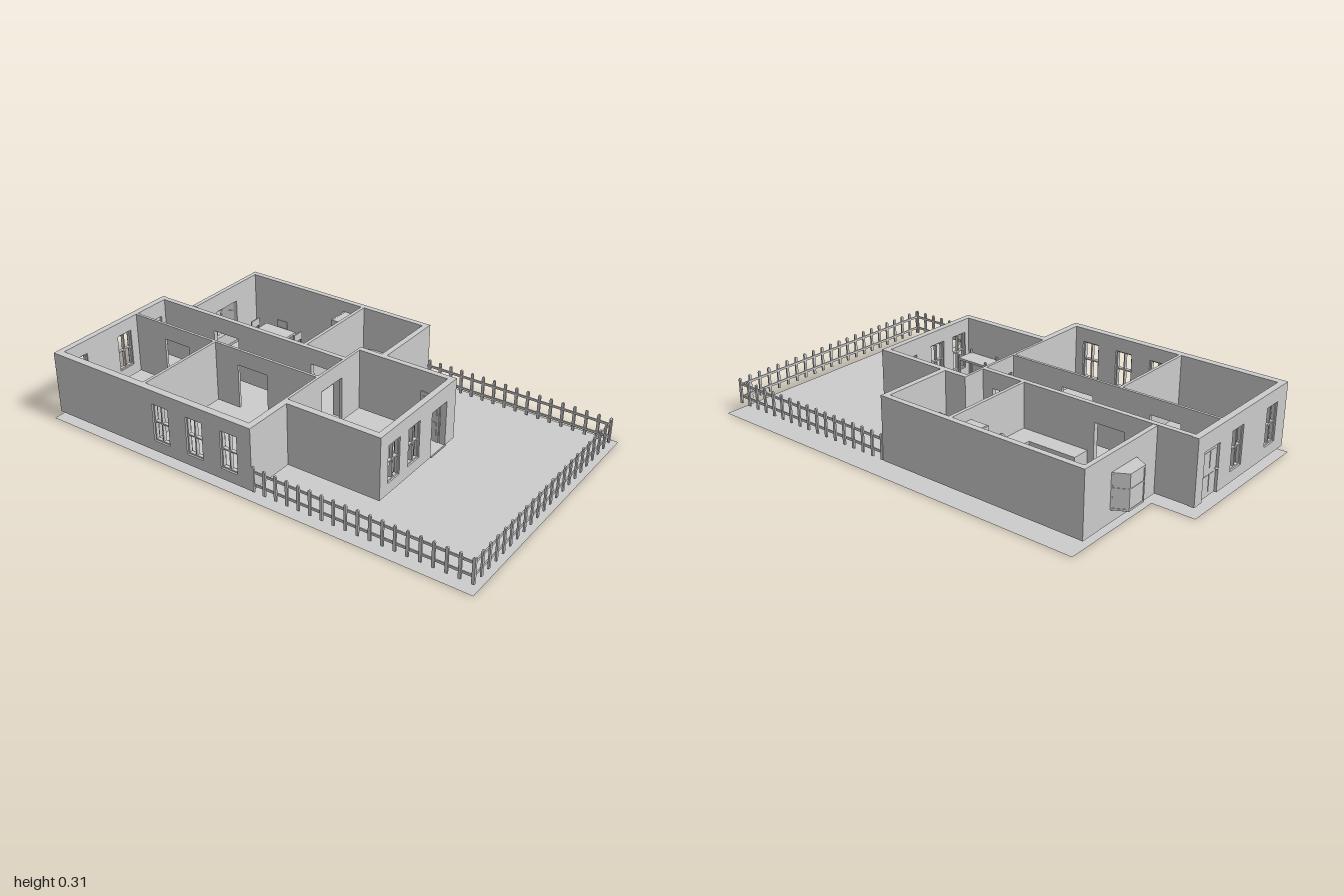
import * as THREE from 'three';

const BASE = 0.03, TOP = 0.305;
const mat = new THREE.MeshStandardMaterial({ color: 0xcccccc, side: THREE.DoubleSide });
const flat = new THREE.MeshStandardMaterial({ color: 0xcccccc, side: THREE.DoubleSide, flatShading: true });

function add(parent, name, geo, x = 0, y = 0, z = 0, m = mat) {
  const mesh = new THREE.Mesh(geo, m);
  mesh.name = name;
  mesh.position.set(x, y, z);
  parent.add(mesh);
  return mesh;
}

// Box given by its extents
function box(parent, name, x0, x1, y0, y1, z0, z1) {
  return add(parent, name, new THREE.BoxGeometry(x1 - x0, y1 - y0, z1 - z0),
    (x0 + x1) / 2, (y0 + y1) / 2, (z0 + z1) / 2);
}

function group(parent, name, x = 0, y = 0, z = 0, ry = 0) {
  const g = new THREE.Group();
  g.name = name;
  g.position.set(x, y, z);
  g.rotation.y = ry;
  parent.add(g);
  return g;
}

const WIN = [0.078, 0.245], DOOR = 0.233;
const win = (c) => ({ a: c - 0.04, b: c + 0.04, y0: WIN[0], y1: WIN[1], window: true });
const door = (a, b) => ({ a, b, door: true });

// Sash window with mullions, in a wall's own frame
function sash(parent, o, t) {
  const g = group(parent, 'window');
  const s = 0.006, d0 = t * 0.25, d1 = t * 0.75, m = (o.a + o.b) / 2, h = (o.y0 + o.y1) / 2;
  for (const x of [o.a, m - s / 2, o.b - s]) box(g, 'windowUpright', x, x + s, o.y0, o.y1, d0, d1);
  for (const y of [o.y0, h, o.y1 - s]) box(g, 'windowBar', o.a, o.b, y, y + s, d0, d1);
}

// Wall along x or z with window holes and door gaps
function wall(parent, name, axis, u0, u1, t0, t1, openings = []) {
  const t = t1 - t0;
  const s = new THREE.Shape();
  s.moveTo(u0, BASE);
  for (const o of openings.filter((o) => o.door)) {
    s.lineTo(o.a, BASE); s.lineTo(o.a, DOOR); s.lineTo(o.b, DOOR); s.lineTo(o.b, BASE);
  }
  s.lineTo(u1, BASE); s.lineTo(u1, TOP); s.lineTo(u0, TOP); s.closePath();
  const g = axis === 'x' ? group(parent, name, 0, 0, t0) : group(parent, name, t1, 0, 0, -Math.PI / 2);
  for (const o of openings.filter((o) => !o.door)) {
    const p = new THREE.Path();
    p.moveTo(o.a, o.y0); p.lineTo(o.a, o.y1); p.lineTo(o.b, o.y1); p.lineTo(o.b, o.y0); p.closePath();
    s.holes.push(p);
    if (o.window) sash(g, o, t);
  }
  add(g, 'wallPanel', new THREE.ExtrudeGeometry(s, { depth: t, bevelEnabled: false }));
}

// Picket fence running along local x
const picketShape = new THREE.Shape();
picketShape.moveTo(-0.006, 0);
picketShape.lineTo(0.006, 0);
picketShape.lineTo(0.006, 0.106);
picketShape.absarc(0, 0.106, 0.006, 0, Math.PI, false);
picketShape.closePath();
const picketGeo = new THREE.ExtrudeGeometry(picketShape, { depth: 0.007, bevelEnabled: false, curveSegments: 4 });
function fence(parent, name, length, x, z, ry) {
  const g = group(parent, name, x, BASE, z, ry), n = Math.round(length / 0.0525);
  for (let i = 0; i <= n; i++) add(g, 'picket', picketGeo, 0.006 + (length - 0.012) * i / n, 0, 0);
  for (const y of [0.024, 0.08]) box(g, 'fenceRail', 0, length, y, y + 0.01, -0.005, 0);
}

// Loft of rounded rectangles: rings of [halfX, halfZ, y], closed at the last
function roundedLoft(rings, power = 0.4, n = 32) {
  const pos = [], idx = [];
  rings.forEach(([a, b, y], r) => {
    for (let i = 0; i < n; i++) {
      const t = i / n * Math.PI * 2, c = Math.cos(t), s = Math.sin(t);
      pos.push(a * Math.sign(c) * Math.abs(c) ** power, y, b * Math.sign(s) * Math.abs(s) ** power);
      if (r) {
        const j = (i + 1) % n, p = (r - 1) * n, q = r * n;
        idx.push(p + i, q + i, p + j, p + j, q + i, q + j);
      }
    }
  });
  const g = new THREE.BufferGeometry();
  g.setAttribute('position', new THREE.Float32BufferAttribute(pos, 3));
  g.setIndex(idx);
  g.computeVertexNormals();
  return g;
}

function table(parent, name, x0, x1, z0, z1, y, post = 0, leg = 0.008) {
  const g = group(parent, name);
  box(g, 'tableTop', x0, x1, y - 0.01, y, z0, z1);
  for (const x of [x0, x1 - leg]) for (const z of [z0, z1 - leg])
    box(g, 'tableLeg', x, x + leg, BASE, y + post, z, z + leg);
}

function chair(parent, x, z, ry) {
  const g = group(parent, 'chair', x, BASE, z, ry);
  box(g, 'chairSeat', -0.028, 0.028, 0.045, 0.052, -0.03, 0.026);
  box(g, 'chairBack', -0.028, 0.028, 0.075, 0.11, 0.02, 0.026);
  for (const px of [-0.028, 0.022]) {
    box(g, 'chairFrontLeg', px, px + 0.006, 0, 0.045, -0.03, -0.024);
    box(g, 'chairBackLeg', px, px + 0.006, 0, 0.11, 0.02, 0.026);
  }
}

// Panelled door leaf, hinged at local x = 0
function leaf(parent, name, w, x, z, ry) {
  const g = group(parent, name, x, BASE, z, ry);
  box(g, 'doorLeaf', 0, w, 0, DOOR - BASE, -0.003, 0.003);
  for (const [a, b] of [[0.02, 0.09], [0.115, 0.185]])
    for (const px of [0.12, 0.55]) box(g, 'doorPanel', w * px, w * (px + 0.33), a, b, -0.005, 0.005);
  for (const z1 of [-0.01, 0.01])
    add(g, 'doorKnob', new THREE.SphereGeometry(0.006, 10, 8), w * 0.93, 0.1, z1);
}

export function createModel() {
  const model = new THREE.Group();
  model.name = 'house';

  // Ground sheet with the notch at the back
  const gs = new THREE.Shape([[-0.594, -1], [0.59, -1], [0.59, 0.815], [0.105, 0.815], [0.105, 1], [-0.594, 1]]
    .map(([x, y]) => new THREE.Vector2(x, y)));
  add(model, 'ground', new THREE.ShapeGeometry(gs).rotateX(-Math.PI / 2));

  // Walls running across the house
  const W = group(model, 'walls');
  wall(W, 'backWall', 'x', -0.573, 0.085, -0.98, -0.952, [win(-0.46), win(-0.2), door(-0.07, 0.035)]);
  wall(W, 'bedroomDivider', 'x', -0.541, -0.12, -0.52, -0.507);
  wall(W, 'bedroomFrontWall', 'x', -0.573, -0.35, 0.008, 0.037);
  wall(W, 'livingRoomBackWall', 'x', -0.35, 0.19, 0.008, 0.02, [door(-0.1, 0.04)]);
  wall(W, 'kitchenBackWall', 'x', 0.085, 0.525, -0.81, -0.79, [{ a: 0.22, b: 0.36, y0: 0.09, y1: 0.225 }]);
  wall(W, 'kitchenBathroomDivider', 'x', 0.082, 0.5, -0.2, -0.185);
  wall(W, 'bathroomFrontWall', 'x', 0.19, 0.525, 0.112, 0.137);
  wall(W, 'livingRoomFrontWall', 'x', -0.35, 0.19, 0.435, 0.462, [win(-0.257), win(-0.117), door(0.012, 0.122)]);

  // Walls running front to back
  wall(W, 'rightOuterWall', 'z', -0.952, 0.008, -0.573, -0.541, [win(-0.41), win(-0.24), win(-0.07)]);
  wall(W, 'hallRightWall', 'z', -0.952, 0.008, -0.12, -0.108, [door(-0.79, -0.655), door(-0.39, -0.24)]);
  wall(W, 'hallLeftWall', 'z', -0.952, 0.008, 0.06, 0.082, [door(-0.67, -0.535), door(-0.15, -0.04)]);
  wall(W, 'leftOuterWall', 'z', -0.79, 0.112, 0.5, 0.525);
  wall(W, 'livingRoomRightWall', 'z', 0.02, 0.435, -0.35, -0.32);
  wall(W, 'livingRoomLeftWall', 'z', 0.02, 0.435, 0.165, 0.19);

  // Outer doors: back one closed, front one swung inward
  leaf(model, 'backDoor', 0.105, 0.035, -0.966, Math.PI);
  leaf(model, 'frontDoor', 0.1, 0.122, 0.432, 1.4);
  box(model, 'doorstep', 0.012, 0.122, BASE, 0.035, 0.462, 0.467);

  // Bay window
  const bay = group(model, 'bayWindow');
  const pts = [[0.213, -0.81], [0.243, -0.868], [0.335, -0.868], [0.367, -0.81]];
  const slab = new THREE.ExtrudeGeometry(new THREE.Shape(pts.map(([x, z]) => new THREE.Vector2(x, -z))),
    { depth: 0.008, bevelEnabled: false }).rotateX(-Math.PI / 2);
  for (const y of [0.083, 0.222]) add(bay, 'baySlab', slab, 0, y, 0);
  for (let i = 0; i < 3; i++) {
    const [[x0, z0], [x1, z1]] = [pts[i], pts[i + 1]], l = Math.hypot(x1 - x0, z1 - z0);
    const g = group(bay, 'baySide', x0, 0, z0, -Math.atan2(z1 - z0, x1 - x0));
    box(g, 'bayPane', 0, l, 0.091, 0.222, 0.002, 0.004);
    for (const x of [0, l - 0.006]) box(g, 'bayPost', x, x + 0.006, 0.091, 0.222, 0, 0.006);
    box(g, 'bayBar', 0, l, 0.165, 0.171, 0, 0.006);
  }

  // Picket fence round the yard
  fence(model, 'frontFence', 1.1, -0.575, 0.983, 0);
  fence(model, 'leftFence', 0.85, 0.518, 0.99, Math.PI / 2);
  fence(model, 'rightFence', 0.953, -0.568, 0.037, -Math.PI / 2);

  // Kitchen: counter, tap, refrigerator, dining set
  box(model, 'counterSide', 0.083, 0.163, 0.028, 0.11, -0.507, -0.29);
  box(model, 'counterBack', 0.083, 0.395, 0.028, 0.11, -0.29, -0.201);
  const tap = new THREE.CatmullRomCurve3([[0, 0, 0], [0, 0.03, 0], [0, 0.037, -0.014], [0, 0.026, -0.026]]
    .map((p) => new THREE.Vector3(...p)));
  add(model, 'tap', new THREE.TubeGeometry(tap, 12, 0.004, 8), 0.24, 0.11, -0.209);
  const fridge = group(model, 'refrigerator');
  box(fridge, 'refrigeratorBody', 0.397, 0.495, BASE, 0.26, -0.28, -0.201);
  box(fridge, 'lowerDoor', 0.397, 0.495, 0.035, 0.165, -0.288, -0.281);
  box(fridge, 'upperDoor', 0.397, 0.495, 0.17, 0.26, -0.288, -0.281);
  for (const y of [0.12, 0.18]) box(fridge, 'handle', 0.438, 0.444, y, y + 0.035, -0.294, -0.288);
  table(model, 'diningTable', 0.34, 0.443, -0.685, -0.52, 0.11);
  chair(model, 0.392, -0.492, 0);
  chair(model, 0.392, -0.687, Math.PI);
  chair(model, 0.432, -0.602, Math.PI / 2);
  chair(model, 0.351, -0.602, -Math.PI / 2);

  // Bathroom: bathtub and toilet
  add(model, 'bathtub', roundedLoft([[0.068, 0.138, 0], [0.068, 0.138, 0.085], [0.055, 0.125, 0.085],
    [0.051, 0.119, 0.06], [0.045, 0.108, 0.03], [0.035, 0.095, 0.02], [0, 0, 0.02]]), 0.431, BASE, -0.034, flat);
  const toilet = group(model, 'toilet', 0.262, BASE, 0);
  add(toilet, 'toiletBowl', roundedLoft([[0.015, 0.022, 0], [0.016, 0.025, 0.025], [0.027, 0.037, 0.052],
    [0.027, 0.037, 0.06], [0, 0, 0.06]], 0.85, 24), 0, 0, 0.039, flat);
  box(toilet, 'cistern', -0.029, 0.029, 0.045, 0.11, 0.08, 0.11);

  // Living room tables by the wall
  for (const z of [0.03, 0.262]) table(model, 'sideTable', -0.315, -0.23, z, z + 0.155, 0.15, 0.015);

  return model;
}
